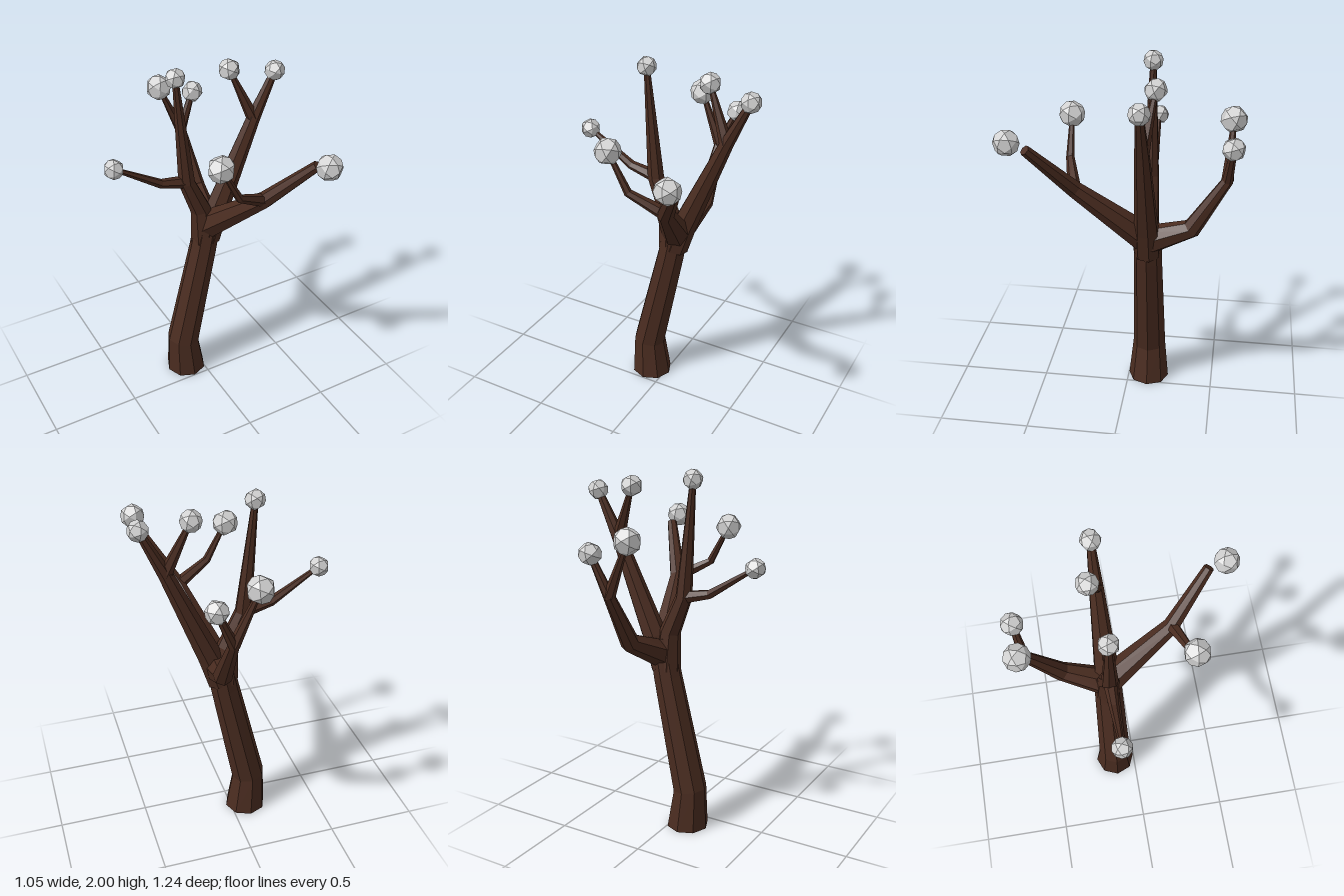
import * as THREE from 'three';
import { ConvexGeometry } from 'three/addons/geometries/ConvexGeometry.js';

const bark = new THREE.MeshStandardMaterial({ color: 0x4a2c20, flatShading: true });
bark.name = 'dark brown bark';
const budGrey = new THREE.MeshStandardMaterial({ color: 0xd0d0d0, flatShading: true });
budGrey.name = 'pale grey bud';

const at = (x, y, z = -0.12) => new THREE.Vector3(x, y, z);

// Limb along a path, its radius easing from r0 to r1 by distance, capped at both ends
function limbGeometry(path, sides, r0, r1, ease) {
  const last = path.length - 1;
  const distance = [0];
  for (let i = 1; i <= last; i++) distance.push(distance[i - 1] + path[i].distanceTo(path[i - 1]));
  const side = new THREE.Vector3(0, 0, 1);
  const rings = path.map((centre, i) => {
    const radius = THREE.MathUtils.lerp(r0, r1, (distance[i] / distance[last]) ** ease);
    const along = new THREE.Vector3()
      .subVectors(path[Math.min(i + 1, last)], path[Math.max(i - 1, 0)]).normalize();
    side.addScaledVector(along, -side.dot(along)).normalize();
    const across = new THREE.Vector3().crossVectors(along, side);
    return Array.from({ length: sides }, (_, k) => {
      const angle = (k / sides) * Math.PI * 2;
      const p = centre.clone()
        .addScaledVector(side, Math.cos(angle) * radius)
        .addScaledVector(across, Math.sin(angle) * radius);
      if (centre.y === 0) p.y = 0; // flat foot on the ground
      return p;
    });
  });
  const corners = [];
  for (let k = 0; k < sides; k++) {
    const m = (k + 1) % sides;
    for (let i = 0; i < last; i++) {
      const [a, b, c, d] = [rings[i][k], rings[i][m], rings[i + 1][m], rings[i + 1][k]];
      corners.push(a, b, c, a, c, d);
    }
    corners.push(path[0], rings[0][m], rings[0][k]);
    corners.push(path[last], rings[last][k], rings[last][m]);
  }
  const geometry = new THREE.BufferGeometry().setFromPoints(corners);
  geometry.computeVertexNormals();
  return geometry;
}

// Faceted ball of triangles and pentagons
function budGeometry() {
  const phi = (1 + Math.sqrt(5)) / 2;
  const points = [];
  const addTurns = (a, b, c) => points.push(at(a, b, c), at(b, c, a), at(c, a, b));
  for (const s of [-1, 1]) {
    addTurns(0, 0, s);
    for (const t of [-1, 1]) for (const u of [-1, 1]) addTurns(s / (2 * phi), t / 2, u * phi / 2);
  }
  return new ConvexGeometry(points);
}

export function createModel() {
  const tree = new THREE.Group();
  tree.name = 'tree';
  const ball = budGeometry();

  function addLimb(name, path, sides, r0, r1, ease) {
    const limb = new THREE.Mesh(limbGeometry(path, sides, r0, r1, ease), bark);
    limb.name = name;
    tree.add(limb);
    return path;
  }

  function addBud(name, centre, radius) {
    const bud = new THREE.Mesh(ball, budGrey);
    const turn = tree.children.length;
    bud.name = name;
    bud.position.copy(centre);
    bud.rotation.set(turn * 1.3, turn * 0.9, turn * 0.5);
    bud.scale.setScalar(radius);
    tree.add(bud);
  }

  // A twig leaves its limb at the limb's last bend and ends in a bud
  function addTwig(name, limbPath, path, r0, budRadius) {
    addLimb(name, [limbPath.at(-2), ...path], 6, r0, 0.012, 0.8);
    addBud(name + 'Bud', path.at(-1), budRadius);
  }

  addLimb('trunk', [at(-0.09, 0), at(-0.105, 0.23), at(0.035, 0.87), at(0.075, 1.09)],
    8, 0.118, 0.075, 0.4);

  const right = addLimb('rightLimb',
    [at(0.04, 0.92), at(0.02, 1.13), at(-0.065, 1.33), at(-0.12, 1.948)], 7, 0.075, 0.016, 0.8);
  addBud('rightLimbBud', right.at(-1), 0.053);
  addTwig('rightTwig', right, [at(-0.22, 1.365), at(-0.48, 1.53)], 0.036, 0.054);

  const left = addLimb('leftLimb',
    [at(0.06, 0.92), at(0.12, 1.09), at(0.345, 1.61), at(0.47, 1.86)], 7, 0.074, 0.02, 1.3);
  addBud('leftLimbBud', left.at(-1), 0.055);
  addTwig('leftTwig', left, [at(0.22, 1.9, -0.17)], 0.036, 0.058);

  const back = addLimb('backLimb',
    [at(0.06, 0.99, -0.1), at(0.12, 1.115, -0.36), at(0.12, 1.4, -0.535), at(0.21, 1.61, -0.56)],
    7, 0.085, 0.017, 0.7);
  addBud('backLimbBud', back.at(-1), 0.06);
  addTwig('backTwig', back, [at(-0.005, 1.69, -0.55)], 0.032, 0.071);

  const front = addLimb('frontLimb',
    [at(0.06, 0.99, -0.14), at(0.195, 1.34, 0.25), at(0.36, 1.61, 0.46)], 7, 0.085, 0.028, 0.7);
  addBud('frontLimbBud', at(0.365, 1.645, 0.55), 0.068);
  addTwig('frontTwig', front, [at(0.01, 1.44, 0.305), at(-0.1, 1.645, 0.31)], 0.036, 0.071);

  return tree;
}
